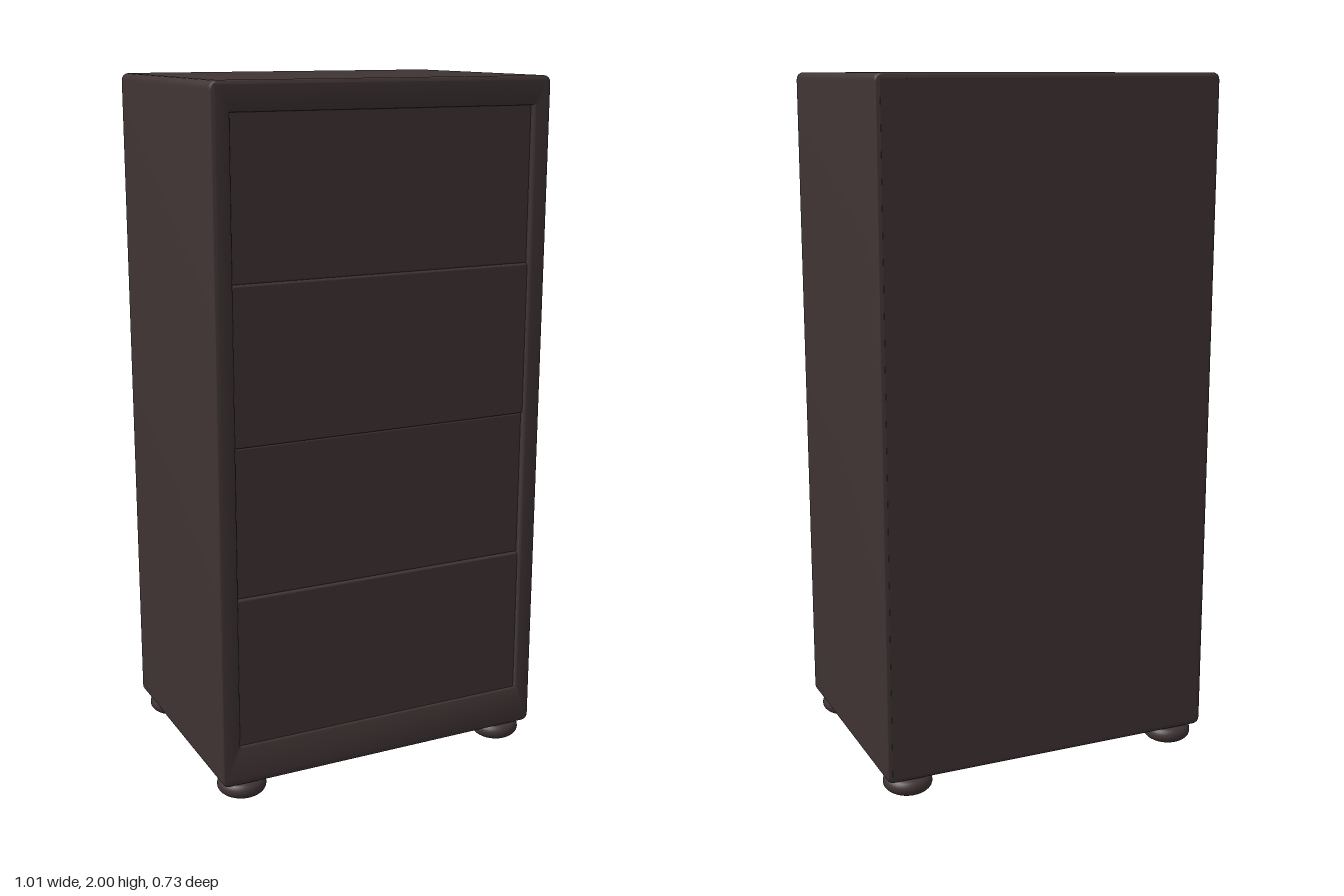
import * as THREE from 'three';
import { toCreasedNormals } from 'three/addons/utils/BufferGeometryUtils.js';
import { RoundedBoxGeometry } from 'three/addons/geometries/RoundedBoxGeometry.js';

const darkWood = new THREE.MeshStandardMaterial({ color: 0x403434 });
darkWood.name = 'darkWood';

function add(parent, name, geometry, x, y, z) {
  const mesh = new THREE.Mesh(geometry, darkWood);
  mesh.name = name;
  mesh.position.set(x, y, z);
  parent.add(mesh);
  return mesh;
}

// Rectangle with rounded corners, drawn into a Shape or a Path
function roundedRect(path, x0, y0, x1, y1, r) {
  path.moveTo(x0 + r, y0);
  path.lineTo(x1 - r, y0);
  path.quadraticCurveTo(x1, y0, x1, y0 + r);
  path.lineTo(x1, y1 - r);
  path.quadraticCurveTo(x1, y1, x1 - r, y1);
  path.lineTo(x0 + r, y1);
  path.quadraticCurveTo(x0, y1, x0, y1 - r);
  path.lineTo(x0, y0 + r);
  path.quadraticCurveTo(x0, y0, x0 + r, y0);
  return path;
}

export function createModel() {
  const model = new THREE.Group();
  model.name = 'chestOfDrawers';

  // Carcass: one softened shell whose front rim frames the drawers
  const bevel = 0.01, back = -0.356, front = 0.36;
  const outline = roundedRect(new THREE.Shape(), -0.505 + bevel, 0.055 + bevel, 0.505 - bevel, 2 - bevel, 0.012);
  outline.holes.push(roundedRect(new THREE.Path(), -0.46, 0.165, 0.46, 1.93, 0.01));
  const shell = new THREE.ExtrudeGeometry(outline, {
    depth: front - back - 2 * bevel,
    bevelThickness: bevel, bevelSize: bevel, bevelSegments: 4, curveSegments: 4,
  });
  add(model, 'carcass', toCreasedNormals(shell, 0.6), 0, 0, back + bevel);

  // Back panel closes the shell flush with its rear rim
  add(model, 'backPanel', new THREE.BoxGeometry(0.98, 1.915, 0.02), 0, 1.0275, back + 0.009);

  // Drawer fronts, alternately set a little deeper, from top to bottom
  const seams = [1.935, 1.48, 1.04, 0.61, 0.16];
  const faces = [0.345, 0.352, 0.345, 0.352];
  faces.forEach((face, i) => {
    const height = seams[i] - seams[i + 1];
    const drawer = new RoundedBoxGeometry(0.92, height, 0.06, 3, 0.006);
    add(model, 'drawerFront' + (i + 1), drawer, 0, (seams[i] + seams[i + 1]) / 2, face - 0.03);
  });

  // Bun feet at the four corners
  const bun = new THREE.LatheGeometry(new THREE.SplineCurve([
    [0, 0], [0.045, 0.002], [0.066, 0.014], [0.071, 0.03], [0.064, 0.046], [0.045, 0.056], [0.04, 0.07],
  ].map(([r, y]) => new THREE.Vector2(r, y))).getPoints(18), 32);
  for (const x of [-0.424, 0.424]) {
    for (const z of [-0.294, 0.294]) {
      add(model, (z > 0 ? 'front' : 'back') + (x > 0 ? 'Left' : 'Right') + 'Foot', bun, x, 0, z);
    }
  }
  return model;
}
